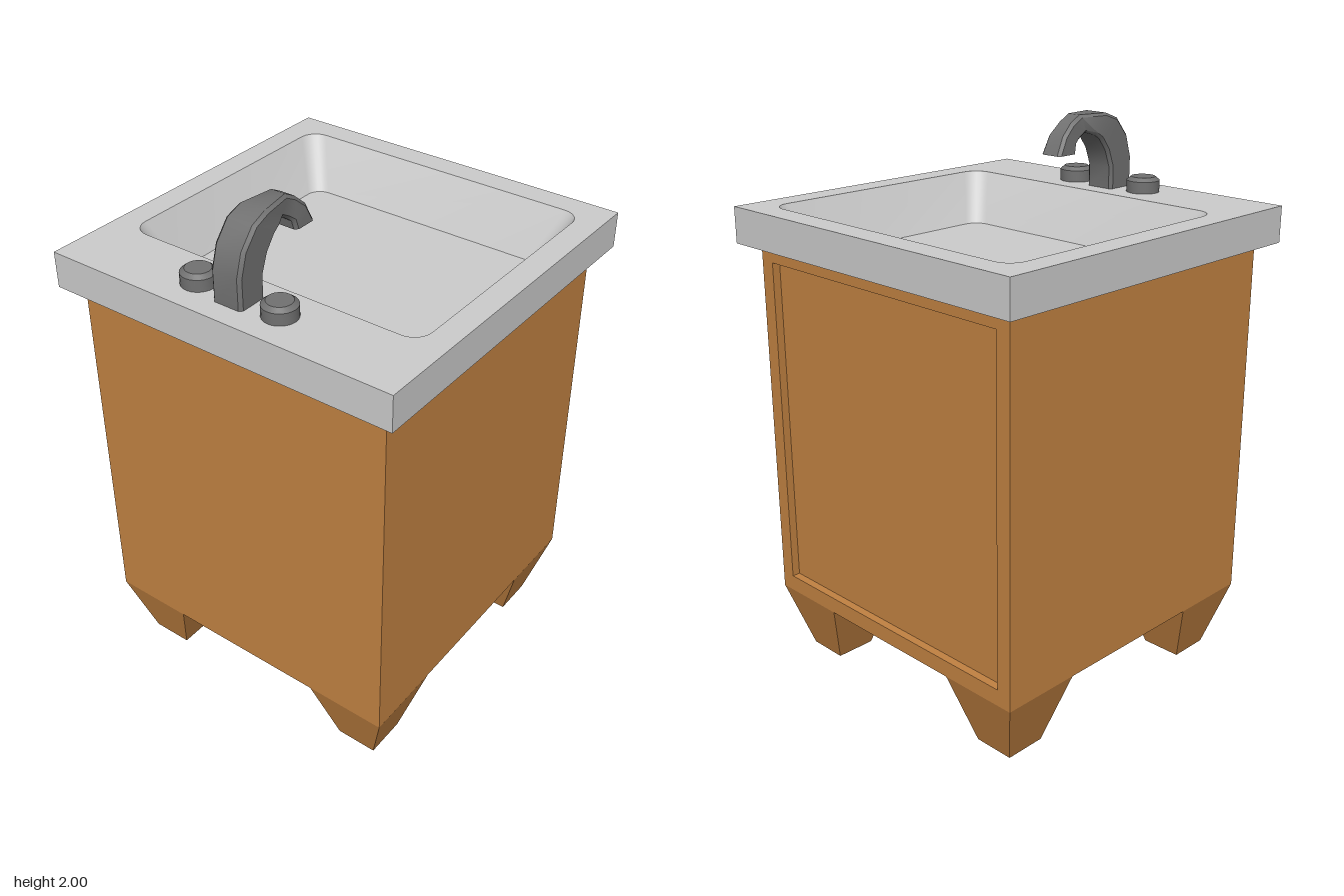
import * as THREE from 'three';
import { toCreasedNormals } from 'three/addons/utils/BufferGeometryUtils.js';

// Horizontal rectangle with rounded corners, counterclockwise from above
function ring(hw, hd, r, y, cx = 0) {
  const pts = [], steps = r > 0 ? 6 : 0;
  for (let q = 0; q < 4; q++) {
    const sx = q === 0 || q === 3 ? 1 : -1, sy = q < 2 ? 1 : -1;
    for (let i = 0; i <= steps; i++) {
      const a = (q + (steps ? i / steps : 0)) * Math.PI / 2;
      pts.push(new THREE.Vector3(
        cx + sx * (hw - r) + r * Math.cos(a), y, -(sy * (hd - r) + r * Math.sin(a))));
    }
  }
  return pts;
}

// Skin over a series of rings, with an optional cap on the last one
function loft(rings, cap, crease = 0.6) {
  const n = rings[0].length, index = [];
  for (let i = 0; i < rings.length - 1; i++) {
    for (let j = 0; j < n; j++) {
      const a = i * n + j, b = i * n + (j + 1) % n;
      index.push(a, b, b + n, a, b + n, a + n);
    }
  }
  const last = (rings.length - 1) * n;
  if (cap) for (let j = 1; j < n - 1; j++) index.push(last, last + j, last + j + 1);
  const geo = new THREE.BufferGeometry().setFromPoints(rings.flat());
  geo.setIndex(index);
  return toCreasedNormals(geo, crease);
}

// Flat face with a hole, in the XY plane
function holedFace(hw, hh, holePoints) {
  const s = new THREE.Shape();
  s.moveTo(-hw, -hh).lineTo(hw, -hh).lineTo(hw, hh).lineTo(-hw, hh).closePath();
  s.holes.push(new THREE.Path(holePoints.map(p => new THREE.Vector2(p.x, -p.z))));
  return new THREE.ShapeGeometry(s);
}

export function createModel() {
  const model = new THREE.Group();
  model.name = 'sinkCabinet';
  const material = (name, color) => {
    const m = new THREE.MeshStandardMaterial({ color });
    m.name = name;
    return m;
  };
  const wood = material('wood', 0xc28242);
  const basinGrey = material('lightGrey', 0xcccccc);
  const metal = material('darkMetal', 0x717171);
  const add = (name, geo, mat, x = 0, y = 0, z = 0) => {
    const mesh = new THREE.Mesh(geo, mat);
    mesh.name = name;
    mesh.position.set(x, y, z);
    model.add(mesh);
    return mesh;
  };

  // Cabinet walls and underside
  const half = 0.607, low = 0.25, high = 1.57, mid = (low + high) / 2, height = high - low;
  [['frontWall', 0], ['backWall', Math.PI], ['plainSideWall', -Math.PI / 2]].forEach(([name, turn]) => {
    const g = new THREE.PlaneGeometry(half * 2, height).translate(0, 0, half).rotateY(turn);
    add(name, g, wood, 0, mid, 0);
  });
  add('underside', new THREE.PlaneGeometry(half * 2, half * 2).rotateX(Math.PI / 2), wood, 0, low, 0);

  // Side with the recessed door panel
  const doorHalfH = 0.61, doorHalfW = 0.55, doorY = 0.92;
  const opening = ring(doorHalfW, doorHalfH, 0, 0);
  opening.forEach(p => { p.z -= doorY - mid; });
  add('doorFrame', holedFace(half, height / 2, opening).rotateY(Math.PI / 2), wood, half, mid, 0);
  const recess = loft([ring(doorHalfH, doorHalfW, 0, 0), ring(doorHalfH, doorHalfW, 0, -0.03)], true);
  add('doorPanel', recess.rotateZ(-Math.PI / 2), wood, half, doorY, 0);

  // Tapered feet
  const foot = toCreasedNormals(
    new THREE.CylinderGeometry(0.151 * Math.SQRT2, 0.076 * Math.SQRT2, low, 4).rotateY(Math.PI / 4), 0.3);
  for (const sx of [-1, 1]) for (const sz of [-1, 1]) {
    add('foot', foot, wood, sx * 0.456, low / 2, sz * 0.456);
  }

  // Countertop with bevelled lower edge and sunken basin
  const topY = 1.72, top = 0.668;
  add('countertopEdge',
    loft([ring(half, half, 0, high), ring(top, top, 0, 1.59), ring(top, top, 0, topY)], false, 0.2),
    basinGrey);
  const rim = ring(0.49, 0.577, 0.065, topY, 0.086);
  add('countertop', holedFace(top, top, rim).rotateX(-Math.PI / 2), basinGrey, 0, topY, 0);
  add('basin', loft([rim, ring(0.399, 0.486, 0.055, 1.54, 0.086)], true), basinGrey);

  // Faucet: outer x, y, inner x, y and half width along the bend
  const sections = [
    [-0.59, 1.72, -0.475, 1.72, 0.058],
    [-0.59, 1.83, -0.475, 1.80, 0.058],
    [-0.565, 1.91, -0.45, 1.865, 0.058],
    [-0.51, 1.975, -0.415, 1.91, 0.058],
    [-0.45, 1.998, -0.39, 1.925, 0.056],
    [-0.33, 2.0, -0.36, 1.934, 0.037],
    [-0.285, 1.975, -0.328, 1.915, 0.037],
    [-0.24, 1.934, -0.308, 1.9, 0.042],
    [-0.208, 1.868, -0.3, 1.868, 0.045],
  ];
  const faucetRings = sections.map(([ox, oy, ix, iy, w]) => {
    const outer = new THREE.Vector3(ox, oy, 0), inner = new THREE.Vector3(ix, iy, 0);
    const centre = outer.clone().add(inner).multiplyScalar(0.5);
    const h = outer.distanceTo(inner) / 2, k = 0.011;
    const u = outer.sub(inner).normalize();
    return [[h, k - w], [h, w - k], [h - k, w], [k - h, w], [-h, w - k], [-h, k - w], [k - h, -w], [h - k, -w]]
      .map(([a, b]) => centre.clone().addScaledVector(u, a).setZ(b));
  });
  add('faucet', loft(faucetRings, true, 0.62), metal);

  // Tap knobs
  const profile = [[0.06, 0], [0.06, 0.042], [0.044, 0.055], [0, 0.055]].map(p => new THREE.Vector2(...p));
  const knob = toCreasedNormals(new THREE.LatheGeometry(profile, 24), 0.5);
  for (const s of [-1, 1]) add('tapKnob', knob, metal, -0.532, topY, s * 0.162);

  return model;
}
